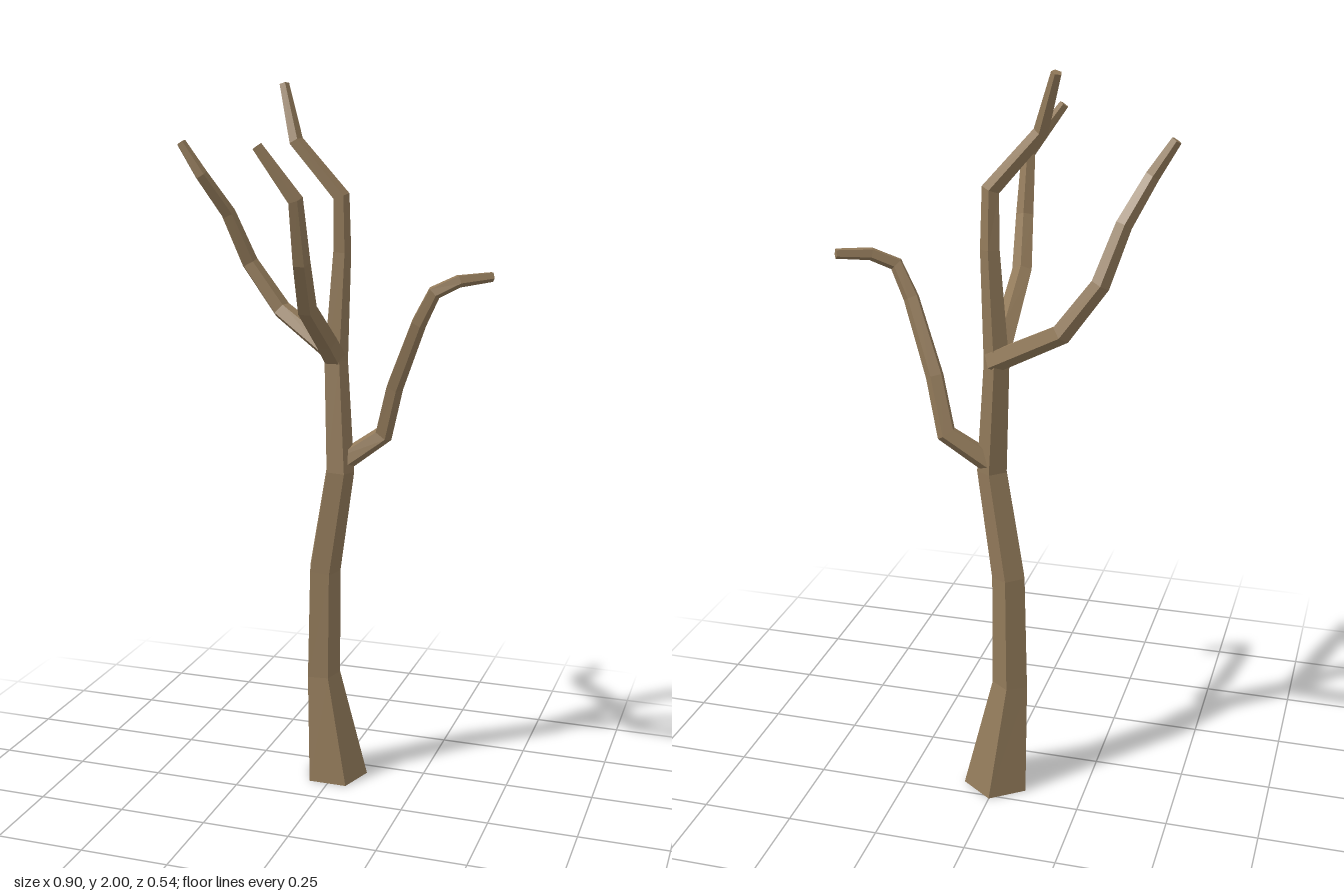
import * as THREE from 'three';

const SIDES = 5;

// Tapered five-sided limb swept along points given as [x, y, z, radius]
function limb(name, path, material, startUp = false) {
  const pts = path.map(p => new THREE.Vector3(p[0], p[1], p[2]));
  const dirs = pts.slice(1).map((p, i) => p.clone().sub(pts[i]).normalize());
  const last = pts.length - 1;
  const turn = new THREE.Quaternion();
  const previous = new THREE.Vector3(0, 1, 0);
  const positions = [];

  const rings = pts.map((p, i) => {
    const tangent = i === 0 ? (startUp ? previous.clone() : dirs[0].clone())
      : i === last ? dirs[last - 1].clone()
      : dirs[i - 1].clone().add(dirs[i]).normalize();
    turn.premultiply(new THREE.Quaternion().setFromUnitVectors(previous, tangent));
    previous.copy(tangent);
    return Array.from({ length: SIDES }, (_, k) => {
      const a = -Math.PI / 2 + k * 2 * Math.PI / SIDES;
      return new THREE.Vector3(Math.cos(a), 0, Math.sin(a))
        .multiplyScalar(path[i][3]).applyQuaternion(turn).add(p);
    });
  });

  const face = (...corners) => corners.forEach(c => positions.push(c.x, c.y, c.z));
  for (let k = 0; k < SIDES; k++) {
    const n = (k + 1) % SIDES;
    for (let i = 0; i < last; i++) {
      const a = rings[i], b = rings[i + 1];
      face(a[k], b[k], a[n]);
      face(a[n], b[k], b[n]);
    }
    face(pts[last], rings[last][n], rings[last][k]); // tip cap
  }

  const geometry = new THREE.BufferGeometry();
  geometry.setAttribute('position', new THREE.Float32BufferAttribute(positions, 3));
  geometry.computeVertexNormals();
  const mesh = new THREE.Mesh(geometry, material);
  mesh.name = name;
  return mesh;
}

export function createModel() {
  const bark = new THREE.MeshStandardMaterial({
    color: 0x927a5a, flatShading: true, side: THREE.DoubleSide,
  });
  bark.name = 'bark';

  const tree = new THREE.Group();
  tree.name = 'bareTree';

  // Trunk with flared foot, running up into the highest branch
  tree.add(limb('trunk', [
    [0, 0, -0.17, 0.094],
    [-0.037, 0.32, -0.158, 0.052],
    [-0.03, 0.64, -0.148, 0.048],
    [0.02, 0.94, -0.132, 0.043],
    [0, 1.25, -0.155, 0.036],
    [0.015, 1.55, -0.162, 0.027],
    [0.015, 1.7, -0.155, 0.025],
    [-0.11, 1.845, -0.145, 0.021],
    [-0.157, 1.995, -0.185, 0.014],
  ], bark, true));

  // Branch reaching forward
  tree.add(limb('frontBranch', [
    [0, 1.25, -0.16, 0.033],
    [-0.002, 1.315, -0.08, 0.031],
    [0, 1.43, 0.09, 0.028],
    [0.018, 1.56, 0.185, 0.025],
    [0.022, 1.72, 0.238, 0.021],
    [-0.07, 1.85, 0.258, 0.014],
  ], bark));

  // Branch on the right side
  tree.add(limb('rightBranch', [
    [0.01, 1.255, -0.165, 0.031],
    [-0.19, 1.37, -0.245, 0.028],
    [-0.285, 1.5, -0.243, 0.025],
    [-0.33, 1.64, -0.198, 0.022],
    [-0.385, 1.75, -0.137, 0.019],
    [-0.44, 1.838, -0.128, 0.014],
  ], bark));

  // Low branch on the left side
  tree.add(limb('leftBranch', [
    [0.02, 0.96, -0.14, 0.031],
    [0.137, 1.045, -0.168, 0.028],
    [0.178, 1.19, -0.133, 0.025],
    [0.26, 1.38, -0.07, 0.022],
    [0.305, 1.465, -0.055, 0.02],
    [0.365, 1.495, -0.082, 0.018],
    [0.443, 1.503, -0.135, 0.014],
  ], bark));

  return tree;
}
